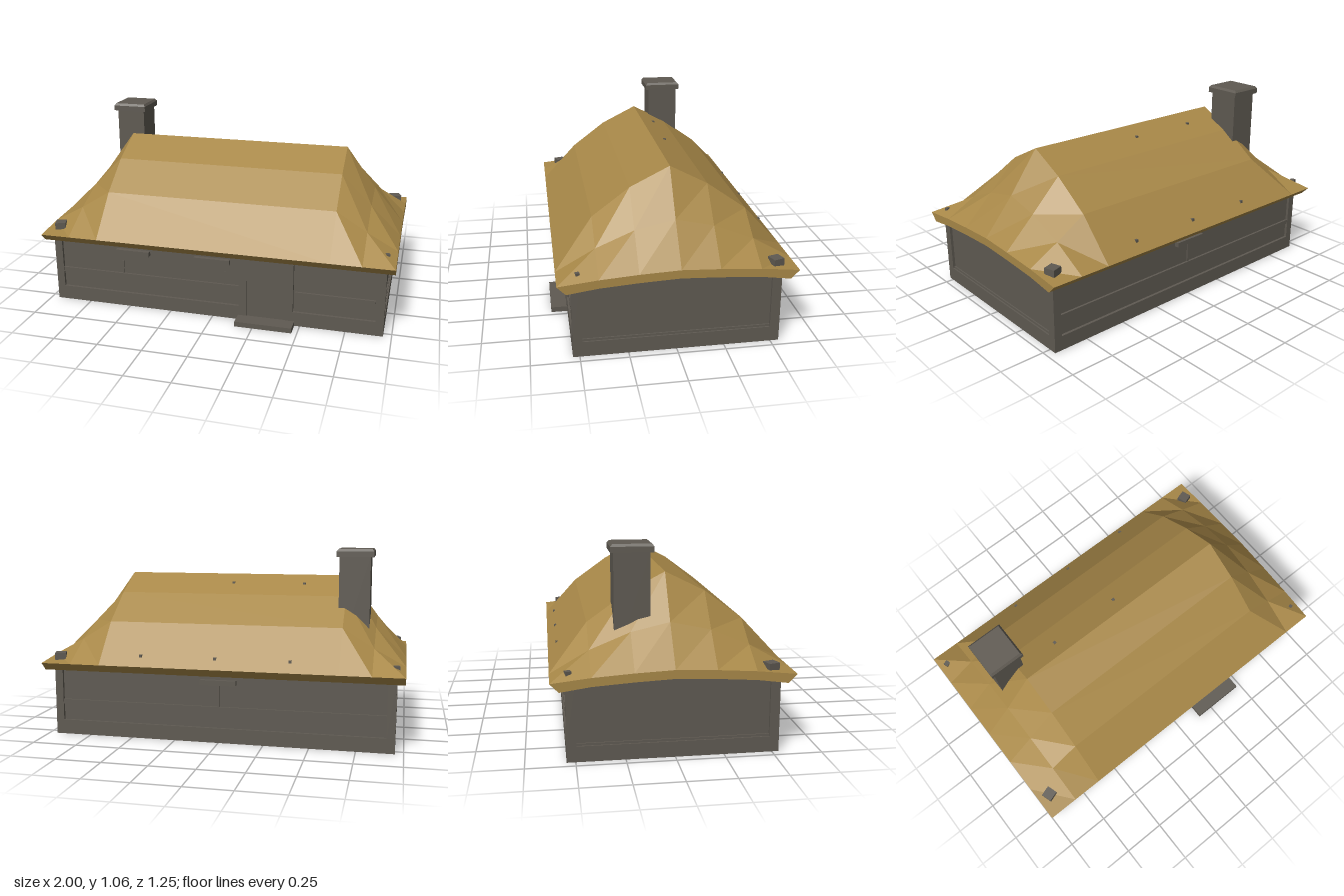
import * as THREE from 'three';

const thatch = new THREE.MeshStandardMaterial({ color: 0xa88848 });
thatch.name = 'thatch';
thatch.flatShading = true;
const stone = new THREE.MeshStandardMaterial({ color: 0x5f5a52 });
stone.name = 'greyTimber';
stone.flatShading = true;

// Roof height stations: rows run along x (mirrored), columns run from back to front.
const ROOF_X = [-1, -0.83, -0.66, 0.66, 0.83, 1];
const ROOF_Z = [-0.62, -0.42, -0.21, -0.01, 0.2, 0.4, 0.605];
const RIDGE = [0.43, 0.65, 0.8, 0.905, 0.8, 0.65, 0.43];
const MIDDLE = [0.43, 0.545, 0.63, 0.675, 0.63, 0.545, 0.43];
const END = [0.43, 0.452, 0.466, 0.475, 0.466, 0.452, 0.43];
const ROOF_Y = [END, MIDDLE, RIDGE, RIDGE, MIDDLE, END];

// Box given by its lower and upper bounds on each axis.
function block(parent, name, x0, x1, y0, y1, z0, z1) {
  const mesh = new THREE.Mesh(new THREE.BoxGeometry(x1 - x0, y1 - y0, z1 - z0), stone);
  mesh.position.set((x0 + x1) / 2, (y0 + y1) / 2, (z0 + z1) / 2);
  mesh.name = name;
  parent.add(mesh);
  return mesh;
}

// Closed roof shell: upper surface, parallel underside and slanted eaves.
function roofGeometry() {
  const rows = ROOF_X.length, cols = ROOF_Z.length, n = rows * cols;
  const pos = [], index = [];
  for (const under of [0, 1]) {
    for (let i = 0; i < rows; i++) {
      for (let j = 0; j < cols; j++) {
        const inset = j === 0 ? 0.045 : j === cols - 1 ? -0.045 : 0;
        pos.push(ROOF_X[i], ROOF_Y[i][j] - under * 0.045, ROOF_Z[j] + under * inset);
      }
    }
  }
  const quad = (a, b, c, d) => index.push(a, b, c, a, c, d);
  for (let i = 0; i < rows - 1; i++) {
    for (let j = 0; j < cols - 1; j++) {
      const a = i * cols + j, b = a + 1, c = b + cols, d = a + cols;
      quad(a, b, c, d);
      quad(n + d, n + c, n + b, n + a);
    }
    const k = i * cols, f = k + cols - 1;
    quad(k, k + cols, n + k + cols, n + k);
    quad(f + cols, f, n + f, n + f + cols);
  }
  for (let j = 0; j < cols - 1; j++) {
    const r = (rows - 1) * cols + j;
    quad(j + 1, j, n + j, n + j + 1);
    quad(r, r + 1, n + r + 1, n + r);
  }
  const geo = new THREE.BufferGeometry();
  geo.setAttribute('position', new THREE.Float32BufferAttribute(pos, 3));
  geo.setIndex(index);
  const flat = geo.toNonIndexed();
  flat.computeVertexNormals();
  return flat;
}

// Height of the long roof slopes between the ridge ends.
function slopeHeight(z) {
  let j = 0;
  while (j < ROOF_Z.length - 2 && z > ROOF_Z[j + 1]) j++;
  const t = (z - ROOF_Z[j]) / (ROOF_Z[j + 1] - ROOF_Z[j]);
  return THREE.MathUtils.lerp(RIDGE[j], RIDGE[j + 1], t);
}

function buildWalls() {
  const g = new THREE.Group();
  g.name = 'walls';
  const X = 0.955, F = 0.535, B = -0.545;
  block(g, 'wallCore', -0.94, 0.94, 0.012, 0.43, -0.53, 0.52);
  block(g, 'baseSill', -X, X, 0.008, 0.09, B, F);

  // Corner posts
  for (const s of [-1, 1]) {
    for (const [z0, z1] of [[0.485, F], [B, -0.495]]) {
      block(g, 'cornerPost', s < 0 ? -X : 0.91, s < 0 ? -0.91 : X, 0.09, 0.43, z0, z1);
    }
    const a = s < 0 ? -0.947 : 0.935;
    block(g, 'sideSillTrim', a, a + 0.012, 0.09, 0.102, -0.495, 0.485);
  }

  // Horizontal rails
  block(g, 'frontRail', -0.91, 0.15, 0.183, 0.21, 0.515, 0.532);
  block(g, 'frontRail', 0.47, 0.905, 0.183, 0.21, 0.515, 0.532);
  block(g, 'backRail', -0.91, 0.91, 0.183, 0.21, -0.542, -0.525);

  // Window lintels with their slim mullions
  for (const [x0, x1, m] of [[-0.57, -0.37, -0.535], [-0.105, 0.1, 0.07]]) {
    block(g, 'windowLintel', x0, x1, 0.333, 0.36, 0.515, 0.545);
    block(g, 'windowMullion', m - 0.004, m + 0.004, 0.21, 0.285, 0.515, 0.526);
  }
  block(g, 'backLintel', -0.1, 0.1, 0.333, 0.36, -0.555, -0.525);
  block(g, 'backMullion', -0.005, 0.005, 0.21, 0.333, -0.536, -0.525);

  // Doorway and step
  block(g, 'doorPost', 0.152, 0.2, 0.03, 0.42, 0.515, 0.54);
  block(g, 'doorPost', 0.42, 0.46, 0.03, 0.42, 0.515, 0.54);
  block(g, 'door', 0.2, 0.42, 0.035, 0.42, 0.515, 0.536);
  block(g, 'doorStep', 0.15, 0.47, 0.008, 0.037, 0.5, 0.625);
  return g;
}

function buildChimney() {
  const g = new THREE.Group();
  g.name = 'chimney';
  block(g, 'chimneyStack', -0.795, -0.625, 0.45, 1.03, -0.29, -0.105);
  block(g, 'chimneyCap', -0.813, -0.61, 1.025, 1.055, -0.306, -0.087);
  // Bevelled top of the cap
  const top = block(g, 'chimneyCapTop', -0.813, -0.61, 1.055, 1.068, -0.306, -0.087);
  const p = top.geometry.attributes.position;
  for (let i = 0; i < p.count; i++) {
    if (p.getY(i) > 0) p.setXYZ(i, p.getX(i) * 0.9, p.getY(i), p.getZ(i) * 0.9);
  }
  top.geometry.computeVertexNormals();
  return g;
}

export function createModel() {
  const model = new THREE.Group();
  model.name = 'cottage';
  model.add(buildWalls(), buildChimney());

  const roof = new THREE.Mesh(roofGeometry(), thatch);
  roof.name = 'hippedRoof';
  model.add(roof);

  // Beam ends poking through the roof corners
  const ends = [[-0.95, -0.53, 0.03], [0.93, -0.515, 0.06], [-0.93, 0.49, 0.06], [0.95, 0.5, 0.02]];
  for (const [x, z, w] of ends) {
    const beam = block(model, 'beamEnd', x - w / 2, x + w / 2, 0.43, 0.477, z - w / 2, z + w / 2);
    beam.rotation.y = Math.PI / 10;
  }

  // Small rafter pegs on the back slope
  for (const [x, z] of [[-0.4, -0.57], [0.01, -0.57], [0.43, -0.57], [-0.41, -0.1], [0.01, -0.1]]) {
    const y = slopeHeight(z);
    block(model, 'rafterPeg', x - 0.008, x + 0.008, y - 0.02, y + 0.006, z - 0.008, z + 0.008);
  }
  return model;
}
